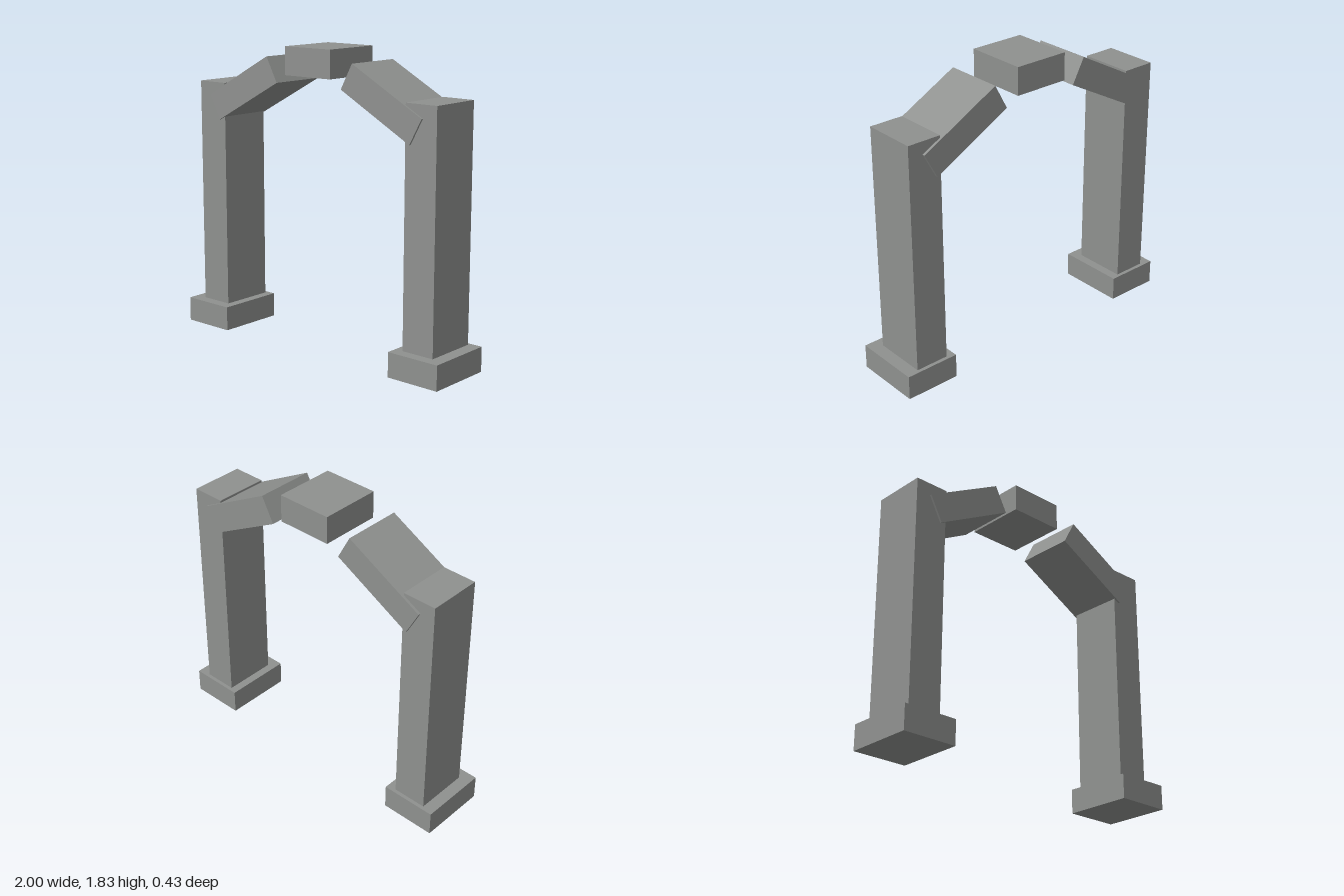
import * as THREE from 'three';

export function createModel() {
  const group = new THREE.Group();
  const stone = new THREE.MeshStandardMaterial({ color: 0x8f918f });
  stone.name = 'grey stone';

  const block = (name, size, position, tilt = 0) => {
    const mesh = new THREE.Mesh(new THREE.BoxGeometry(...size), stone);
    mesh.name = name;
    mesh.position.set(...position);
    mesh.rotation.z = tilt;
    group.add(mesh);
  };

  // Arch blocks sit slightly off the centre of the feet
  const offsetX = -0.0025;

  for (const [side, s] of [['left', 1], ['right', -1]]) {
    // Foot, pillar and leaning arch stone on each side
    block(side + 'Base', [0.345, 0.152, 0.43], [s * 0.8275, 0.076, 0]);
    block(side + 'Pillar', [0.213, 1.42, 0.34], [offsetX + s * 0.816, 0.862, -0.022]);
    block(side + 'ArchStone', [0.562, 0.173, 0.369], [offsetX + s * 0.54, 1.551, -0.024], -s * 0.493);
  }

  // Stone at the crown of the arch
  block('keystone', [0.351, 0.17, 0.383], [offsetX, 1.745, -0.024]);

  return group;
}
